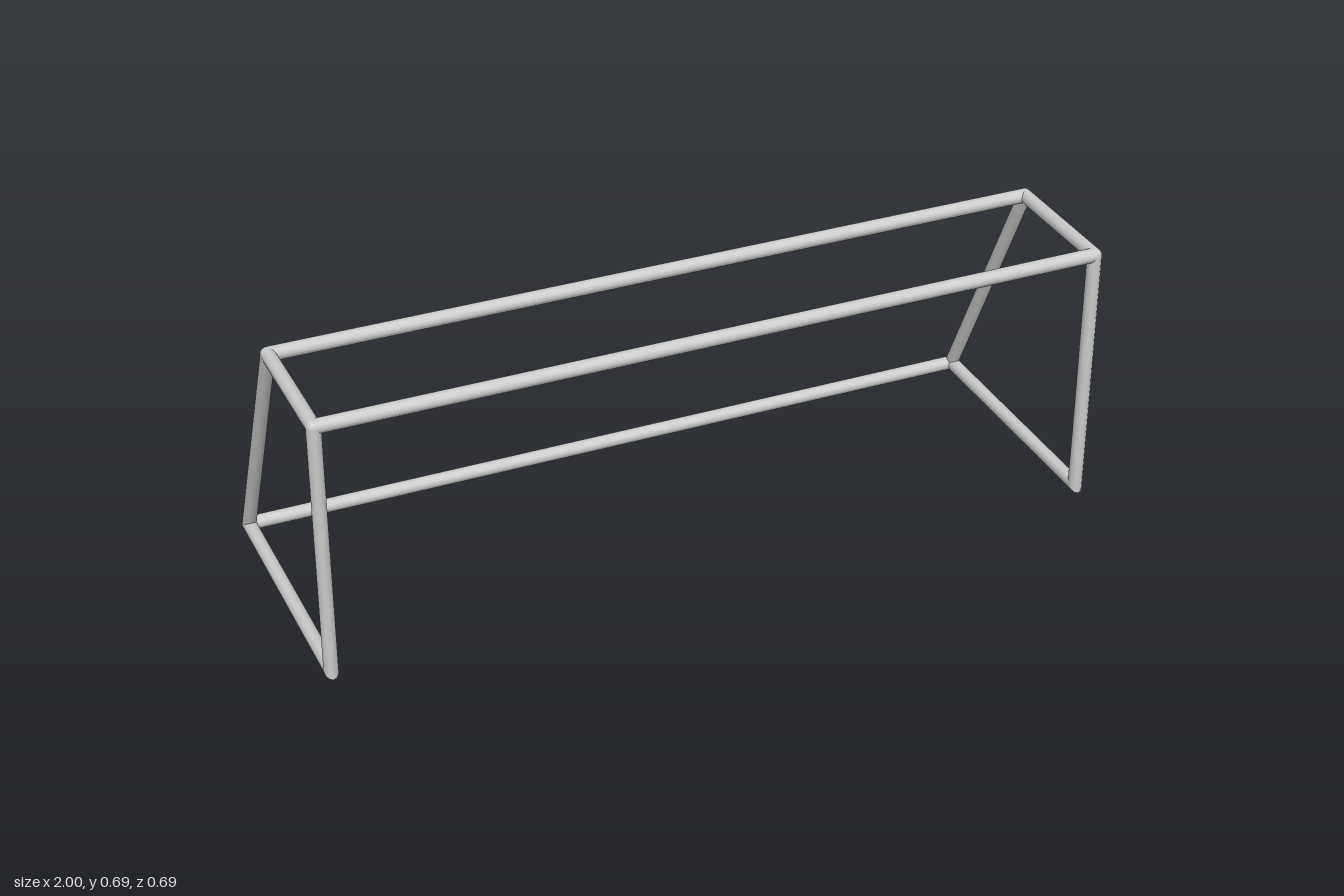
import * as THREE from 'three';

const R = 0.018, X = 1 - R, SIDES = 12;
const material = new THREE.MeshStandardMaterial({ color: 0xcccccc });

// Side frame corners on the tube centre line
const corners = x => ({
  frontFoot: new THREE.Vector3(x, R, 0.328),
  frontTop: new THREE.Vector3(x, 0.674, 0.328),
  backTop: new THREE.Vector3(x, 0.674, -0.012),
  backFoot: new THREE.Vector3(x, R, -0.328),
});

// Round tube from a to b; the end at a may be cut along a mitre plane
function tube(name, a, b, mitre) {
  const dir = b.clone().sub(a);
  const geo = new THREE.CylinderGeometry(R, R, dir.length(), SIDES);
  geo.translate(0, dir.length() / 2, 0);
  dir.normalize();
  geo.applyQuaternion(new THREE.Quaternion().setFromUnitVectors(new THREE.Vector3(0, 1, 0), dir));
  if (mitre) {
    const pos = geo.attributes.position, p = new THREE.Vector3();
    for (let i = 0; i < pos.count; i++) {
      p.fromBufferAttribute(pos, i);
      if (p.dot(dir) > 0.001) continue;
      p.addScaledVector(dir, -p.dot(mitre) / dir.dot(mitre));
      pos.setXYZ(i, p.x, p.y, p.z);
    }
  }
  const mesh = new THREE.Mesh(geo, material);
  mesh.position.copy(a);
  mesh.name = name;
  return mesh;
}

// Rounded corner where tubes meet
function joint(name, p) {
  const mesh = new THREE.Mesh(new THREE.SphereGeometry(R, SIDES, 8), material);
  mesh.position.copy(p);
  mesh.name = name;
  return mesh;
}

function sideFrame(name, c) {
  const frame = new THREE.Group();
  frame.name = name;
  const mitre = new THREE.Vector3(0, 1, 1);
  frame.add(
    tube('frontPost', c.frontFoot, c.frontTop, mitre),
    tube('groundRail', c.frontFoot, c.backFoot, mitre),
    tube('topRail', c.frontTop, c.backTop),
    tube('slopedBackPost', c.backTop, c.backFoot),
    joint('frontTopJoint', c.frontTop),
    joint('backTopJoint', c.backTop),
    joint('backFootJoint', c.backFoot),
  );
  return frame;
}

export function createModel() {
  const goal = new THREE.Group();
  goal.name = 'goalFrame';
  const left = corners(X), right = corners(-X);
  goal.add(sideFrame('leftFrame', left), sideFrame('rightFrame', right));

  // Bars spanning the two side frames
  const bars = { crossbar: 'frontTop', backTopBar: 'backTop', backGroundBar: 'backFoot' };
  for (const [name, key] of Object.entries(bars)) goal.add(tube(name, right[key], left[key]));
  return goal;
}
